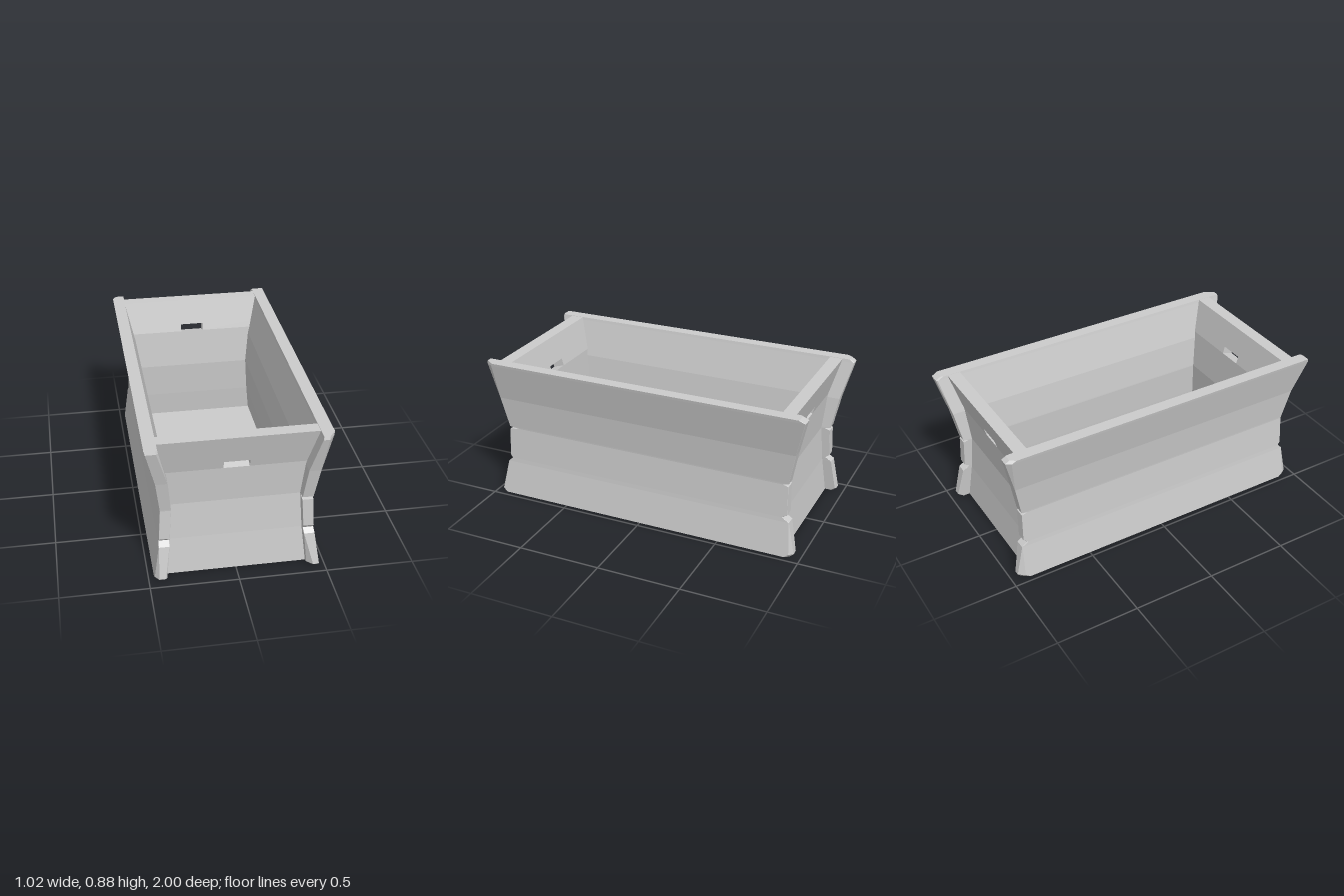
import * as THREE from 'three';

const material = new THREE.MeshStandardMaterial({ color: 0xcccccc, flatShading: true });

// Profiles: [height, value]
const SIDE_OUTER = [[0, 0.468], [0.22, 0.437], [0.44, 0.425], [0.64, 0.45], [0.88, 0.508]];
const SIDE_INNER = [[0, 0.4], [0.22, 0.377], [0.44, 0.363], [0.64, 0.382], [0.88, 0.437]];
const END_OUTER = [[0, 0.885], [0.22, 0.86], [0.44, 0.845], [0.66, 0.866], [0.88, 0.927]];
const END_INNER = [[0, 0.81], [0.22, 0.787], [0.44, 0.775], [0.66, 0.79], [0.88, 0.85]];
const BOARD_LENGTH = [[0, 0.935], [0.02, 0.958], [0.21, 0.918], [0.255, 0.905], [0.44, 0.9], [0.64, 0.94], [0.865, 1], [0.882, 0.995]];

function sample(profile, y) {
  for (let i = 1; i < profile.length; i++) {
    const [y0, v0] = profile[i - 1], [y1, v1] = profile[i];
    if (y <= y1) return v0 + (v1 - v0) * (y - y0) / (y1 - y0);
  }
  return profile[profile.length - 1][1];
}

// Closed solid through rings of points stacked from bottom to top
function loft(rings, name) {
  const n = rings[0].length;
  let area = 0;
  rings[0].forEach((p, i) => {
    const q = rings[0][(i + 1) % n];
    area += p[2] * q[0] - q[2] * p[0];
  });
  if (area < 0) rings = rings.map(r => [...r].reverse());
  const index = [], last = (rings.length - 1) * n;
  for (let r = 0; r < rings.length - 1; r++) {
    for (let i = 0; i < n; i++) {
      const a = r * n + i, b = r * n + (i + 1) % n;
      index.push(a, b, b + n, a, b + n, a + n);
    }
  }
  for (let i = 1; i < n - 1; i++) {
    index.push(0, i + 1, i, last, last + i, last + i + 1);
  }
  const geometry = new THREE.BufferGeometry();
  geometry.setAttribute('position', new THREE.Float32BufferAttribute(rings.flat(2), 3));
  geometry.setIndex(index);
  const flat = geometry.toNonIndexed();
  flat.computeVertexNormals();
  const mesh = new THREE.Mesh(flat, material);
  mesh.name = name;
  return mesh;
}

// Wear at one board corner: chips fade from the top and bottom towards the waist
function chip(y, top, bottom) {
  const fade = y > 0.64 ? top * (y - 0.64) / 0.24 : bottom * Math.max(0, 1 - y / 0.21);
  return Math.max(0.001, fade);
}

// Long side board with notched, chipped ends
function sideBoard(s, name, front, back) {
  const heights = [0, 0.02, 0.21, 0.235, 0.255, 0.428, 0.438, 0.446, 0.64, 0.865, 0.882];
  const rings = heights.map(y => {
    const xo = sample(SIDE_OUTER, y), xi = sample(SIDE_INNER, y);
    const corner = (wear, dir) => {
      let z = sample(BOARD_LENGTH, y);
      if (y === 0.235) z -= wear.lowNotch;
      if (y === 0.438) z -= wear.midNotch;
      if (y > 0.87) z -= wear.topDrop;
      const co = chip(y, wear.topOuter, wear.lowOuter);
      const ci = chip(y, wear.topInner, wear.lowInner);
      return [
        [s * xo, y, dir * (z - co * 1.4)], [s * (xo - co), y, dir * z],
        [s * (xi + ci), y, dir * z], [s * xi, y, dir * (z - ci)],
      ];
    };
    return [...corner(front, 1), ...corner(back, -1).reverse()];
  });
  return loft(rings, name);
}

// End panel built as a lower part, two cheeks beside the grip slot, and a top rail
function endPanel(s, name) {
  const group = new THREE.Group();
  group.name = name;
  const SLOT = 0.072;
  // The slot is cut square to the leaning panel, so its inner side is higher
  const lift = y => (y === 0.66 || y === 0.705 ? 0.021 : 0);
  const piece = (heights, from, to, part) => {
    group.add(loft(heights.map(y => {
      const yi = y + lift(y);
      const edge = (e, h) => (Math.abs(e) === 1 ? e * (sample(SIDE_INNER, h) + 0.012) : e);
      const zo = s * sample(END_OUTER, y), zi = s * sample(END_INNER, yi);
      return [[edge(from, y), y, zo], [edge(to, y), y, zo], [edge(to, yi), yi, zi], [edge(from, yi), yi, zi]];
    }), part));
  };
  piece([0, 0.22, 0.44, 0.66], -1, 1, 'lowerPanel');
  piece([0.66, 0.705], -1, -SLOT, 'rightGripCheek');
  piece([0.66, 0.705], SLOT, 1, 'leftGripCheek');
  piece([0.705, 0.88], -1, 1, 'topRail');
  return group;
}

export function createModel() {
  const model = new THREE.Group();
  model.name = 'woodenTrough';

  // Side boards, each end with its own wear
  model.add(sideBoard(1, 'leftSideBoard',
    { lowNotch: 0.02, midNotch: 0.06, topDrop: 0, topOuter: 0.038, topInner: 0.002, lowOuter: 0.005, lowInner: 0.035 },
    { lowNotch: 0.035, midNotch: 0.03, topDrop: 0.03, topOuter: 0.002, topInner: 0.01, lowOuter: 0.02, lowInner: 0.01 }));
  model.add(sideBoard(-1, 'rightSideBoard',
    { lowNotch: 0.025, midNotch: 0, topDrop: 0, topOuter: 0.002, topInner: 0.012, lowOuter: 0.025, lowInner: 0.01 },
    { lowNotch: 0.03, midNotch: 0.03, topDrop: 0.02, topOuter: 0.022, topInner: 0.005, lowOuter: 0.03, lowInner: 0.01 }));

  // End panels with grip slots
  model.add(endPanel(1, 'frontPanel'), endPanel(-1, 'backPanel'));

  // Floor between the boards
  model.add(loft([0, 0.06].map(y => {
    const x = sample(SIDE_INNER, y) + 0.01, z = sample(END_INNER, y) + 0.01;
    return [[-x, y, z], [x, y, z], [x, y, -z], [-x, y, -z]];
  }), 'floor'));

  return model;
}
